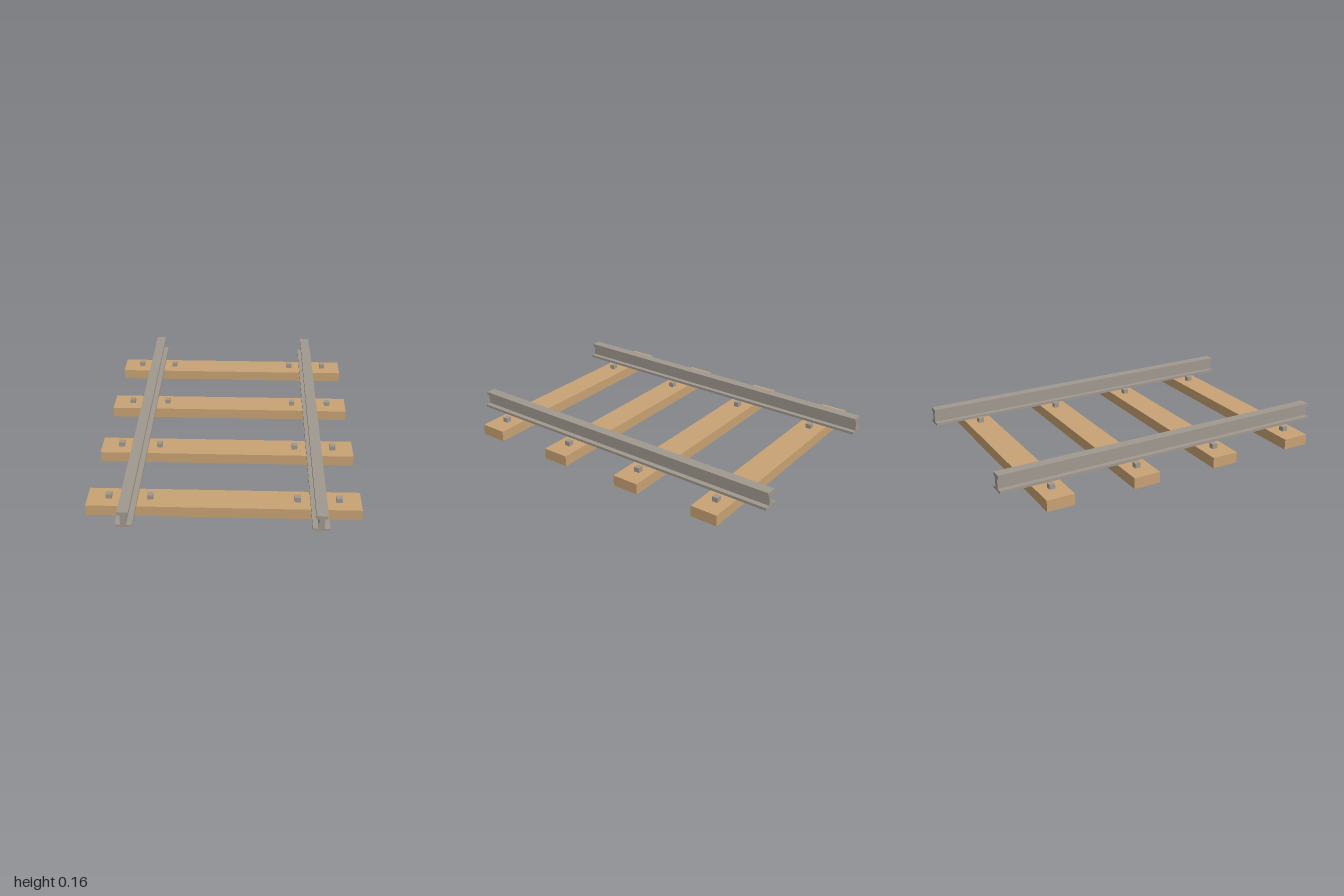
import * as THREE from 'three';

export function createModel() {
  const model = new THREE.Group();
  model.name = 'railwayTrack';

  const wood = new THREE.MeshStandardMaterial({ color: 0xc8a274 });
  wood.name = 'wood';
  const steel = new THREE.MeshStandardMaterial({ color: 0xa0988f });
  steel.name = 'steel';

  const add = (name, geometry, material, x, y, z) => {
    const mesh = new THREE.Mesh(geometry, material);
    mesh.name = name;
    mesh.position.set(x, y, z);
    model.add(mesh);
  };

  const tieTop = 0.062;
  const spikeHeight = 0.027;

  // I-shaped rail section: wide foot, thin web, narrower head
  const half = [
    [0.044, 0], [0.044, 0.015], [0.015, 0.015],
    [0.015, 0.074], [0.029, 0.074], [0.029, 0.094],
  ];
  const outline = [...half, ...half.map(([x, y]) => [-x, y]).reverse()];
  const section = new THREE.Shape(outline.map(([x, y]) => new THREE.Vector2(x, y)));
  const railGeometry = new THREE.ExtrudeGeometry(section, { depth: 2, bevelEnabled: false });
  railGeometry.translate(0, 0, -1);

  const tieGeometry = new THREE.BoxGeometry(1.45, tieTop, 0.156);
  const spikeGeometry = new THREE.BoxGeometry(0.032, spikeHeight, 0.032);

  // Two parallel rails
  for (const side of [-1, 1]) {
    add(side > 0 ? 'leftRail' : 'rightRail', railGeometry, steel, side * 0.5, tieTop, 0);
  }

  // Four ties, each with a spike on both sides of each rail
  for (const z of [-0.75, -0.25, 0.25, 0.75]) {
    add('tie', tieGeometry, wood, 0, tieTop / 2, z);
    for (const x of [-0.61, -0.39, 0.39, 0.61]) {
      add('spike', spikeGeometry, steel, x, tieTop + spikeHeight / 2, z);
    }
  }

  return model;
}
